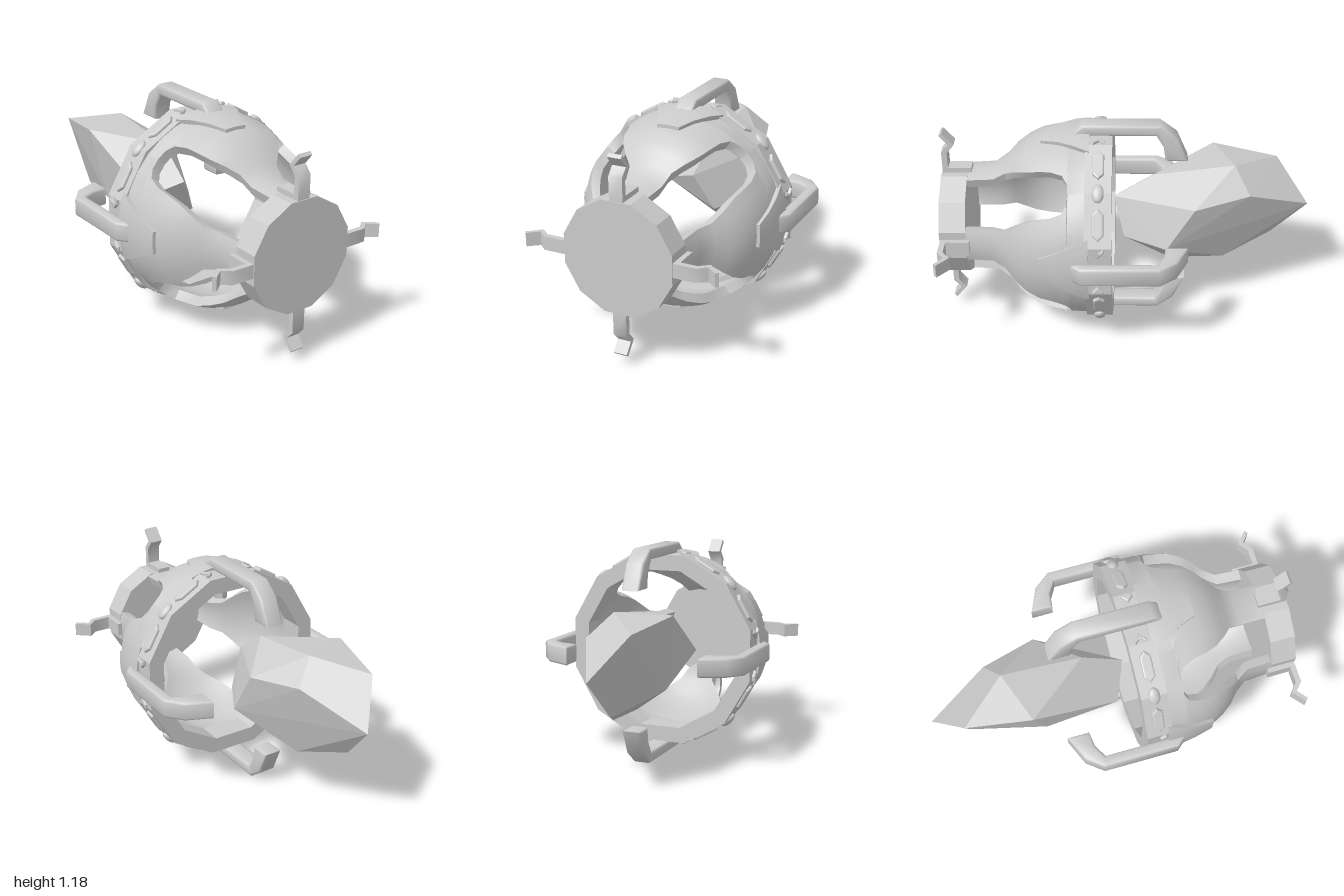
import * as THREE from 'three';
import { toCreasedNormals } from 'three/addons/utils/BufferGeometryUtils.js';
import { ConvexGeometry } from 'three/addons/geometries/ConvexGeometry.js';

const smooth = new THREE.MeshStandardMaterial({ color: 0xcccccc });
const faceted = new THREE.MeshStandardMaterial({ color: 0xcccccc, flatShading: true });
const RAD = Math.PI / 180;

function add(parent, name, geometry, material = smooth) {
  const mesh = new THREE.Mesh(geometry, material);
  mesh.name = name;
  parent.add(mesh);
  return mesh;
}

// Curved solid around the z axis; rows are [z, outer radius, half angle in degrees]
function shell(rows, thickness, cols = 9) {
  const n = cols * 2, points = [], positions = [];
  for (const [z, r, half] of rows) {
    for (let j = 0; j < n; j++) {
      const outer = j < cols, k = outer ? j : n - 1 - j;
      const a = (k / (cols - 1) * 2 - 1) * half * RAD, rr = outer ? r : r - thickness;
      points.push([rr * Math.sin(a), rr * Math.cos(a), z]);
    }
  }
  const quad = (a, b, c, d) => {
    for (const i of [a, b, c, a, c, d]) positions.push(...points[i]);
  };
  for (let i = 0; i < rows.length - 1; i++) {
    for (let j = 0; j < n; j++) {
      const k = (j + 1) % n;
      quad(i * n + j, (i + 1) * n + j, (i + 1) * n + k, i * n + k);
    }
  }
  const last = (rows.length - 1) * n;
  for (let j = 0; j < cols - 1; j++) {
    quad(j, j + 1, n - 2 - j, n - 1 - j);
    quad(last + n - 1 - j, last + n - 2 - j, last + j + 1, last + j);
  }
  const g = new THREE.BufferGeometry();
  g.setAttribute('position', new THREE.Float32BufferAttribute(positions, 3));
  return toCreasedNormals(g, 35 * RAD);
}

function extrude(points, depth, bevel) {
  const shape = new THREE.Shape(points.map(([x, y]) => new THREE.Vector2(x, y)));
  return new THREE.ExtrudeGeometry(shape, {
    depth: depth - 2 * bevel, bevelEnabled: bevel > 0, bevelSize: bevel,
    bevelThickness: bevel, bevelOffset: -bevel, bevelSegments: 2,
  });
}

// Side profile given as [z, radius], extruded across x
function profile(points, width, bevel) {
  const g = extrude(points, width, bevel);
  g.translate(0, 0, bevel - width / 2);
  g.rotateY(-Math.PI / 2);
  return toCreasedNormals(g, 50 * RAD);
}

// Flat ornament lying on a ring facet, facing outward along +y
function ornament(points) {
  const g = extrude(points, 0.032, 0.009);
  g.rotateX(-Math.PI / 2);
  return g;
}

export function createModel() {
  const model = new THREE.Group();
  model.name = 'model';
  const body = new THREE.Group();
  body.name = 'crystalHolder';
  body.position.y = 0.59;
  model.add(body);

  // Twelve-sided closed base
  const base = new THREE.CylinderGeometry(0.308, 0.308, 0.14, 12);
  base.rotateY(15 * RAD).rotateX(Math.PI / 2).translate(0, 0, 0.93);
  add(body, 'base', base, faceted);

  // Twelve-sided rim
  const rimProfile = [[0.46, 0.08], [0.55, 0.08], [0.55, 0.22], [0.46, 0.22], [0.46, 0.08]]
    .map(([r, z]) => new THREE.Vector2(r, z));
  const rim = new THREE.LatheGeometry(rimProfile, 12, 15 * RAD);
  rim.rotateX(Math.PI / 2);
  add(body, 'rim', rim, faceted);

  // Shared parts for the four quarters
  const petal = shell([
    [0.2, 0.53, 45], [0.305, 0.525, 45], [0.31, 0.525, 39], [0.335, 0.522, 34], [0.4, 0.51, 31],
    [0.47, 0.495, 30], [0.54, 0.46, 28], [0.6, 0.415, 24], [0.65, 0.36, 19], [0.72, 0.31, 19], [0.88, 0.3, 19],
  ], 0.055);
  const plate = shell([
    [0.2, 0.55, 20], [0.22, 0.55, 19], [0.28, 0.55, 16], [0.37, 0.535, 11], [0.46, 0.515, 7],
  ], 0.04);
  const clamp = profile([
    [0.31, 0.5], [0.31, 0.53], [0.24, 0.59], [-0.17, 0.59], [-0.26, 0.52], [-0.32, 0.38],
    [-0.2, 0.38], [-0.19, 0.46], [-0.15, 0.53], [0.2, 0.53],
  ], 0.105, 0.014);
  const claw = profile([
    [0.84, 0.29], [0.84, 0.325], [0.965, 0.325], [0.965, 0.415], [0.925, 0.465], [0.985, 0.535],
    [1, 0.52], [0.955, 0.465], [0.995, 0.42], [0.995, 0.29],
  ], 0.074, 0);
  const bar = ornament([
    [-0.085, 0], [-0.055, 0.03], [0.055, 0.03], [0.085, 0], [0.055, -0.03], [-0.055, -0.03],
  ]);
  const chevron = ornament([
    [0, 0], [0.03, 0.03], [0.055, 0.03], [0.025, 0], [0.055, -0.03], [0.03, -0.03],
  ]);
  const stud = new THREE.SphereGeometry(1, 16, 8);
  stud.scale(0.05, 0.022, 0.032);

  for (let q = 0; q < 4; q++) {
    const quarter = new THREE.Group();
    quarter.name = 'quarter' + (q + 1);
    quarter.rotation.z = q * Math.PI / 2;
    body.add(quarter);
    add(quarter, 'petal', petal);
    add(quarter, 'mountingPlate', plate);
    add(quarter, 'clamp', clamp);
    add(quarter, 'claw', claw);

    // Rim ornaments on both sides of the clamp
    for (const side of [-1, 1]) {
      const facet = new THREE.Group();
      facet.name = 'rimOrnaments';
      facet.rotation.z = -side * 30 * RAD;
      quarter.add(facet);
      add(facet, 'rimBar', bar, faceted).position.set(-side * 0.02, 0.525, 0.15);
      const arrow = add(quarter, 'rimChevron', chevron, faceted);
      arrow.position.set(side * 0.09, 0.525, 0.15);
      if (side < 0) arrow.rotation.y = Math.PI;
    }
    const corner = new THREE.Group();
    corner.name = 'rimCorner';
    corner.rotation.z = 45 * RAD;
    quarter.add(corner);
    add(corner, 'rimStud', stud).position.set(0, 0.545, 0.15);
  }

  // Irregular faceted crystal
  const crystal = [
    [-0.085, 0.625, -1], [-0.24, 0.84, -0.83], [-0.31, 0.885, -0.476], [-0.03, 0.9, -0.58],
    [0.085, 0.775, -0.66], [0.18, 0.74, -0.36], [-0.03, 0.84, -0.14], [-0.05, 0.69, 0.08],
    [-0.25, 0.62, 0], [0.05, 0.487, 0.02], [0.185, 0.49, -0.21], [0, 0.315, -0.235],
    [0, 0.326, -0.535], [-0.12, 0.417, -0.81], [-0.24, 0.48, -0.4],
  ].map((p) => new THREE.Vector3(...p));
  add(model, 'crystal', new ConvexGeometry(crystal), faceted);

  return model;
}
